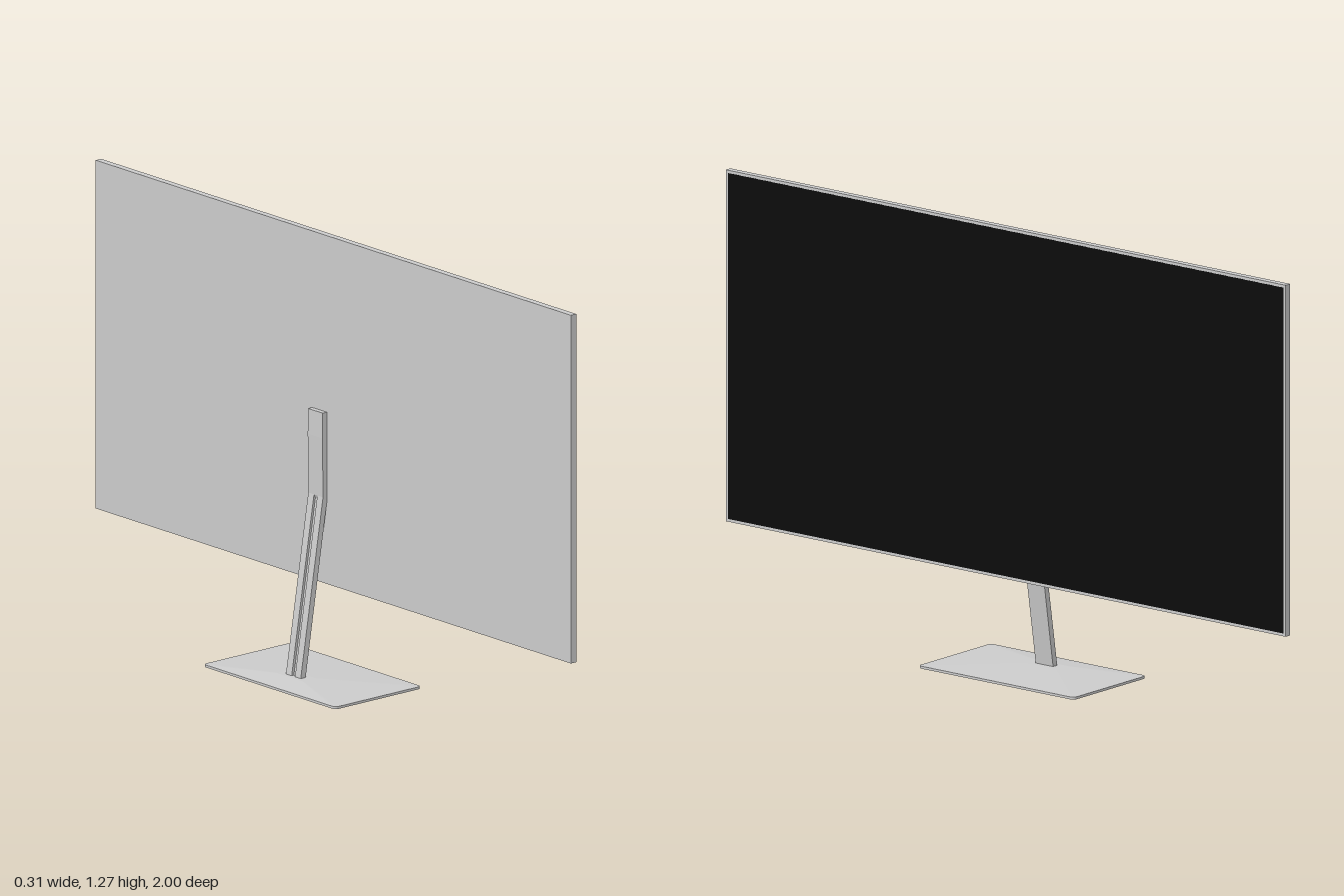
import * as THREE from 'three';

const ARM_Z = -0.058, ARM_W = 0.062;

const grey = () => new THREE.MeshStandardMaterial({ color: 0xcccccc, flatShading: true });

function addMesh(parent, name, geometry, material = grey()) {
  const mesh = new THREE.Mesh(geometry, material);
  mesh.name = name;
  parent.add(mesh);
  return mesh;
}

// Side profile in x/y, given width along z and centred on z
function sideExtrude(points, width, z) {
  const shape = new THREE.Shape(points.map(([x, y]) => new THREE.Vector2(x, y)));
  const g = new THREE.ExtrudeGeometry(shape, { depth: width, bevelEnabled: false });
  return g.translate(0, 0, z - width / 2);
}

// Rounded plate whose top rises gently to a small flat where the arm lands
function baseGeometry() {
  const cx = -0.0015, cz = -0.053, hx = 0.157, hz = 0.278, r = 0.012, steps = 4;
  const outline = [];
  [[1, 1], [-1, 1], [-1, -1], [1, -1]].forEach(([sx, sz], q) => {
    for (let i = 0; i <= steps; i++) {
      const a = (q + i / steps) * Math.PI / 2;
      outline.push([cx + sx * (hx - r) + r * Math.cos(a), cz + sz * (hz - r) + r * Math.sin(a)]);
    }
  });
  const rings = [
    outline.map(([x, z]) => [x, 0, z]),
    outline.map(([x, z]) => [x, 0.007, z]),
    outline.map(([x, z]) => [-0.055 + (x - cx) * 0.15, 0.015, ARM_Z + (z - cz) * 0.2]),
  ];
  const pos = [], n = outline.length;
  const tri = (a, b, c) => pos.push(...a, ...b, ...c);
  for (let i = 0; i < n; i++) {
    const j = (i + 1) % n;
    for (let k = 0; k < 2; k++) {
      tri(rings[k][i], rings[k + 1][i], rings[k][j]);
      tri(rings[k][j], rings[k + 1][i], rings[k + 1][j]);
    }
    tri([cx, 0, cz], rings[0][i], rings[0][j]);
    tri([-0.055, 0.015, ARM_Z], rings[2][j], rings[2][i]);
  }
  const g = new THREE.BufferGeometry();
  g.setAttribute('position', new THREE.Float32BufferAttribute(pos, 3));
  g.computeVertexNormals();
  return g;
}

export function createModel() {
  const model = new THREE.Group();
  model.name = 'monitor';

  // Thin panel facing +x with a dark screen inside a narrow bezel
  const panel = new THREE.Group();
  panel.name = 'panel';
  panel.position.set(0.039, 0.769, 0);
  model.add(panel);
  addMesh(panel, 'housing', new THREE.BoxGeometry(0.02, 1, 2));
  addMesh(panel, 'screen', new THREE.BoxGeometry(0.002, 0.984, 1.984),
    new THREE.MeshStandardMaterial({ color: 0x0a0a0a })).position.x = 0.0095;

  // Arm: leaning lower half with a groove down its back
  const stand = new THREE.Group();
  stand.name = 'stand';
  model.add(stand);
  addMesh(stand, 'lowerArm', sideExtrude(
    [[-0.059, 0.01], [-0.049, 0.01], [0.03, 0.51], [0.021, 0.515]], ARM_W, ARM_Z));
  for (const side of [-1, 1]) {
    addMesh(stand, 'armRail', sideExtrude(
      [[-0.067, 0.01], [-0.057, 0.01], [0.023, 0.515], [0.015, 0.52]],
      0.024, ARM_Z + side * (ARM_W - 0.024) / 2));
  }

  // Upper half, fixed flat against the back of the panel
  addMesh(stand, 'upperArm', sideExtrude(
    [[0.015, 0.52], [0.022, 0.505], [0.03, 0.51], [0.03, 0.762], [0.014, 0.762], [0.013, 0.69]],
    ARM_W, ARM_Z));

  addMesh(stand, 'base', baseGeometry());
  return model;
}
